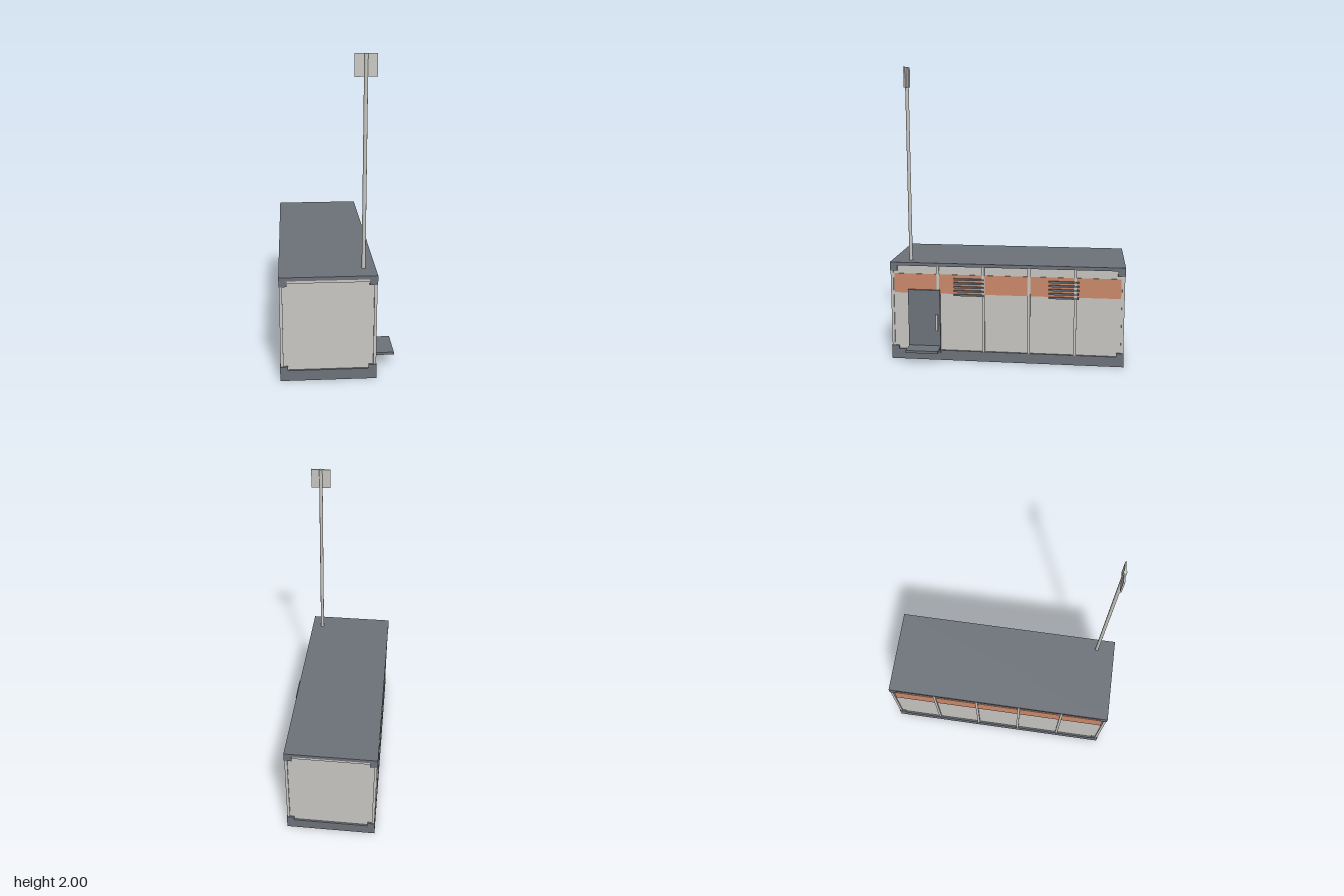
import * as THREE from 'three';

const material = (name, color) => {
  const m = new THREE.MeshStandardMaterial({ color });
  m.name = name;
  return m;
};

export function createModel() {
  const model = new THREE.Group();
  model.name = 'equipmentShelter';
  const light = material('lightGrey', 0xc9c8c3);
  const dark = material('slateGrey', 0x6e737b);
  const orange = material('orange', 0xcc8a6b);

  const shelter = new THREE.Group();
  shelter.name = 'shelter';
  model.add(shelter);

  // Box given by its lower and upper limits on each axis
  const box = (name, mat, [x0, x1], [y0, y1], [z0, z1], parent = shelter) => {
    const mesh = new THREE.Mesh(new THREE.BoxGeometry(x1 - x0, y1 - y0, z1 - z0), mat);
    mesh.position.set((x0 + x1) / 2, (y0 + y1) / 2, (z0 + z1) / 2);
    mesh.name = name;
    parent.add(mesh);
    return mesh;
  };
  const around = (centre, size) => [centre - size / 2, centre + size / 2];

  const L = -0.365, R = 0.237, CX = (L + R) / 2, W = R - L, Z = 0.8;
  const wall = 0.012; // wall inset behind the frame

  // Base, roof and walls
  box('base', dark, [L, R], [0, 0.07], [-Z, Z]);
  box('roof', dark, [L, R], [0.667, 0.69], [-Z, Z]);
  box('walls', light, [L + wall, R - wall], [0.07, 0.667], [-Z + wall, Z - wall]);

  for (const sx of [-1, 1]) {
    const side = (depth) => CX + sx * (W / 2 - depth);

    // Corner posts and corner fittings
    for (const sz of [-1, 1]) {
      box('cornerPost', light, around(side(0.012), 0.018), [0.07, 0.667], around(sz * (Z - 0.012), 0.018));
      for (const [y0, y1] of [[0.07, 0.095], [0.63, 0.667]]) {
        box('cornerFitting', dark, around(side(0.025), 0.05), [y0, y1], around(sz * (Z - 0.025), 0.05));
      }
    }

    // Wall ribs
    for (const i of [-1.5, -0.5, 0.5, 1.5]) {
      box('wallRib', light, around(side(0.009), 0.014), [0.07, 0.667], around(i * 0.313, 0.018));
    }

    // Painted band between the ribs
    for (let i = -2; i <= 2; i++) {
      box('bandPanel', orange, around(side(wall - 0.001), 0.006), [0.475, 0.61], around(i * 0.313, 0.295));
    }
  }

  // Rails under the roof at both ends
  for (const sz of [-1, 1]) {
    box('endRail', light, [L + 0.05, R - 0.05], [0.65, 0.667], around(sz * (Z - 0.01), 0.014));
  }

  // Ventilation louvres
  for (const z of [0.257, -0.392]) {
    for (let i = 0; i < 5; i++) {
      box('louvre', dark, [R - wall, 0.242], around(0.47 + i * 0.0275, 0.012), around(z, 0.205));
    }
  }

  // Door, handle and step
  box('door', dark, [R - wall, 0.243], [0.05, 0.5], [0.455, 0.677]);
  box('doorHandle', light, [0.243, 0.254], [0.215, 0.33], [0.471, 0.485]);
  box('step', dark, [0.252, 0.364], [0.09, 0.107], [0.45, 0.672]);

  // Mast with a flat aerial
  const mast = new THREE.Group();
  mast.name = 'mast';
  mast.position.set(0.161, 0, 0.67);
  model.add(mast);
  const pole = new THREE.Mesh(new THREE.CylinderGeometry(0.012, 0.012, 1.31, 12), light);
  pole.position.y = 1.345;
  pole.name = 'pole';
  mast.add(pole);
  box('aerialPanel', light, [-0.067, 0.067], [1.867, 2], [-0.005, 0.005], mast);

  return model;
}
